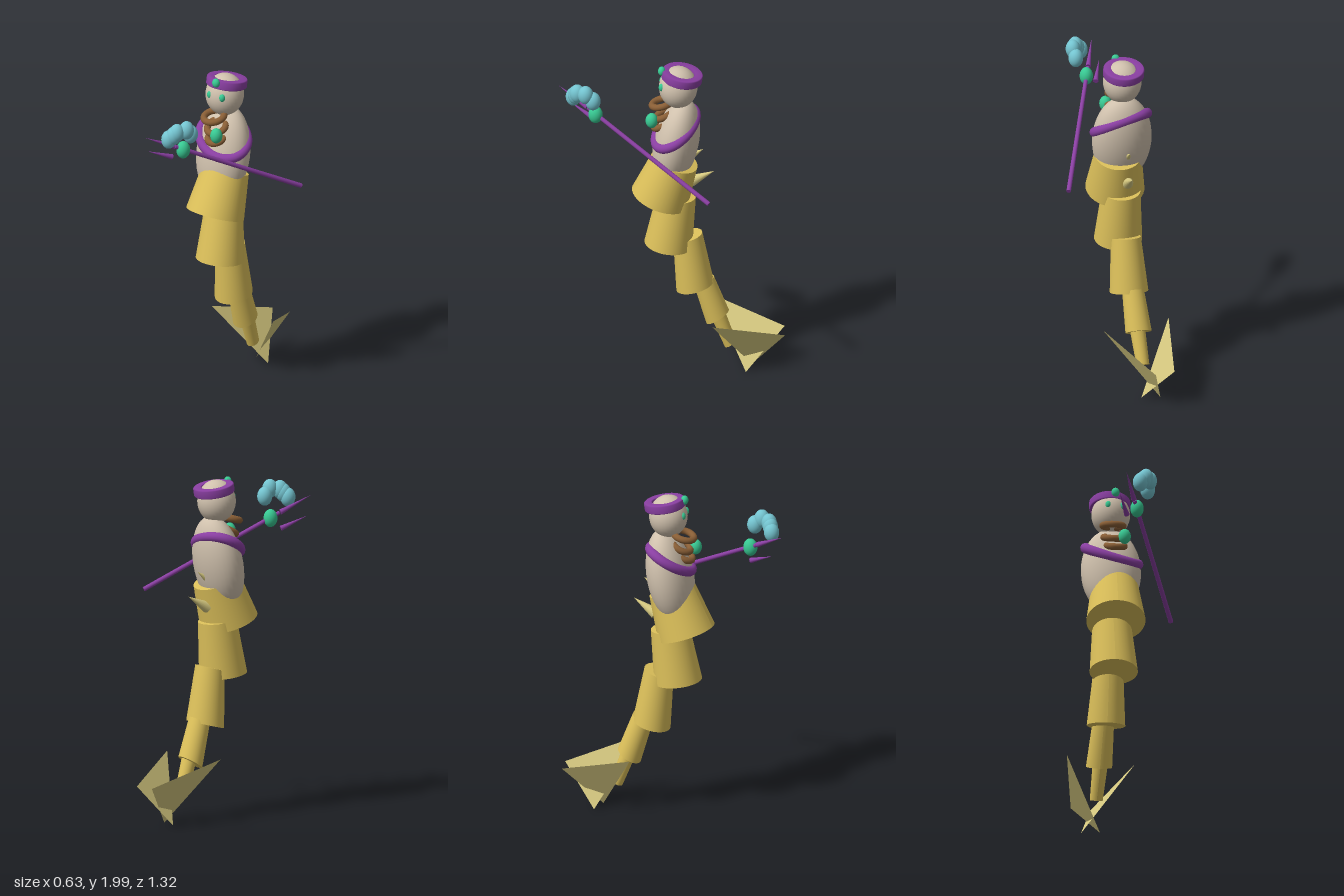
import * as THREE from 'three';

const V = (x, y, z) => new THREE.Vector3(x, y, z);

function material(name, color, side = THREE.FrontSide) {
  const m = new THREE.MeshStandardMaterial({ color, side });
  m.name = name;
  return m;
}

export function createModel() {
  const group = new THREE.Group();
  const skin = material('skin', 0xd0c1ad);
  const purple = material('purple', 0x8a3fa2);
  const gold = material('gold', 0xdcc05a);
  const finGold = material('pale gold', 0xd6c980, THREE.DoubleSide);
  const brown = material('brown', 0x8a5f36);
  const green = material('green', 0x38c892);
  const blue = material('light blue', 0x74c4d0);

  function add(name, geometry, mat, position = V(0, 0, 0)) {
    const mesh = new THREE.Mesh(geometry, mat);
    mesh.name = name;
    mesh.position.copy(position);
    group.add(mesh);
    return mesh;
  }

  function ellipsoid(name, mat, position, rx, ry, rz) {
    const mesh = add(name, new THREE.SphereGeometry(1, 32, 20), mat, position);
    mesh.scale.set(rx, ry, rz);
    return mesh;
  }

  // Cylinder or cone running from one point to another
  function rod(name, mat, from, to, r0, r1, sides = 16) {
    const dir = to.clone().sub(from);
    const geometry = new THREE.CylinderGeometry(r1, r0, dir.length(), sides);
    const mesh = add(name, geometry, mat, from.clone().lerp(to, 0.5));
    mesh.quaternion.setFromUnitVectors(V(0, 1, 0), dir.normalize());
    return mesh;
  }

  // Tapered tail segment whose end rings each have their own centre, radius and tilt
  function segment(name, bottom, top) {
    const geometry = new THREE.CylinderGeometry(1, 1, 1, 40);
    const p = geometry.attributes.position;
    for (let i = 0; i < p.count; i++) {
      const u = p.getY(i) + 0.5;
      const c = bottom.c.clone().lerp(top.c, u);
      const r = THREE.MathUtils.lerp(bottom.r, top.r, u);
      const t = THREE.MathUtils.degToRad(THREE.MathUtils.lerp(bottom.tilt, top.tilt, u));
      const z = r * p.getZ(i);
      p.setXYZ(i, c.x + r * p.getX(i), c.y - z * Math.sin(t), c.z + z * Math.cos(t));
    }
    geometry.computeVertexNormals();
    return add(name, geometry, gold);
  }

  // Head, eyes and headband
  ellipsoid('head', skin, V(-0.07, 1.87, -0.044), 0.113, 0.127, 0.113);
  ellipsoid('rightEye', green, V(-0.093, 1.89, 0.055), 0.018, 0.024, 0.018);
  ellipsoid('leftEye', green, V(-0.008, 1.89, 0.042), 0.018, 0.024, 0.018);
  const bandProfile = [[0.07, -0.02], [0.076, -0.026], [0.114, -0.026], [0.12, -0.02],
    [0.12, 0.02], [0.114, 0.026], [0.076, 0.026], [0.07, 0.02], [0.07, -0.02]];
  const headband = add('headband', new THREE.LatheGeometry(
    bandProfile.map(([r, y]) => new THREE.Vector2(r, y)), 48), purple, V(-0.074, 1.943, -0.066));
  headband.rotation.x = -0.17;
  ellipsoid('headbandGem', green, V(-0.05, 1.975, 0.05), 0.024, 0.028, 0.022);

  // Torso, leaning back
  const torso = ellipsoid('torso', skin, V(-0.07, 1.5, -0.032), 0.176, 0.29, 0.13);
  torso.rotation.x = -0.19;

  // Sloping sash around the torso
  const sashPoints = [];
  for (let i = 0; i < 16; i++) {
    const a = (i / 16) * Math.PI * 2;
    const x = 0.155 * Math.cos(a), z = 0.115 * Math.sin(a);
    sashPoints.push(V(-0.065 + x, 1.6 - 0.3 * x - 0.55 * z, -0.03 + z));
  }
  add('sash', new THREE.TubeGeometry(
    new THREE.CatmullRomCurve3(sashPoints, true), 64, 0.03, 14, true), purple);

  // Necklace rings and pendant
  [
    [V(-0.065, 1.758, 0.052), 0.06, 0.27],
    [V(-0.06, 1.69, 0.035), 0.058, 0.5],
    [V(-0.05, 1.63, 0.048), 0.052, 0.5],
  ].forEach(([position, radius, tilt], i) => {
    const ring = add('necklaceRing' + (i + 1),
      new THREE.TorusGeometry(radius, 0.02, 12, 36), brown, position);
    ring.rotation.x = Math.PI / 2 + tilt;
  });
  ellipsoid('pendant', green, V(0, 1.67, 0.1), 0.036, 0.046, 0.036);

  // Tail, from the hips to the tip
  const ring = (x, y, z, r, tilt) => ({ c: V(x, y, z), r, tilt });
  segment('hipSegment', ring(-0.048, 1.145, 0.06, 0.173, -19), ring(-0.048, 1.4, -0.03, 0.138, -19));
  segment('upperTail', ring(-0.057, 0.838, 0.012, 0.141, -7), ring(-0.065, 1.165, -0.036, 0.113, -7));
  segment('middleTail', ring(-0.09, 0.56, -0.14, 0.113, 15), ring(-0.08, 0.89, -0.098, 0.088, 15));
  segment('lowerTail', ring(-0.12, 0.352, -0.268, 0.077, 32), ring(-0.103, 0.59, -0.19, 0.064, 25));
  segment('tailTip', ring(-0.13, 0.173, -0.343, 0.038, 30), ring(-0.113, 0.37, -0.272, 0.045, 30));

  // Crossed triangular tail fins
  [
    ['rightTailFin', [-0.315, 0.39, -0.19, -0.255, 0.255, -0.64, -0.1, 0.01, -0.44]],
    ['leftTailFin', [0.095, 0.39, -0.28, -0.14, 0.255, -0.665, -0.21, 0.01, -0.455]],
  ].forEach(([name, corners]) => {
    const geometry = new THREE.BufferGeometry();
    geometry.setAttribute('position', new THREE.Float32BufferAttribute(corners, 3));
    geometry.computeVertexNormals();
    add(name, geometry, finGold);
  });

  // Spines on the back
  rod('upperSpine', finGold, V(-0.085, 1.41, -0.11), V(-0.085, 1.467, -0.19), 0.025, 0);
  rod('lowerSpine', finGold, V(-0.085, 1.25, -0.12), V(-0.085, 1.328, -0.255), 0.035, 0);

  // Staff with a gem and two prongs
  rod('staffShaft', purple, V(0.303, 1.317, -0.298), V(0.025, 1.73, 0.475), 0.014, 0.012);
  ellipsoid('staffGem', green, V(0.045, 1.7, 0.425), 0.039, 0.053, 0.042);
  rod('longProng', purple, V(0.022, 1.733, 0.48), V(-0.036, 1.825, 0.658), 0.016, 0);
  rod('shortProng', purple, V(-0.017, 1.645, 0.455), V(-0.07, 1.712, 0.605), 0.016, 0);

  // Curling plume above the staff gem
  [
    [0.107, 1.82, 0.428], [0.115, 1.86, 0.47], [0.09, 1.852, 0.525],
    [0.076, 1.835, 0.538], [0.053, 1.81, 0.555],
  ].forEach((p, i) => ellipsoid('plume' + (i + 1), blue, V(...p), 0.043, 0.056, 0.045));

  return group;
}
